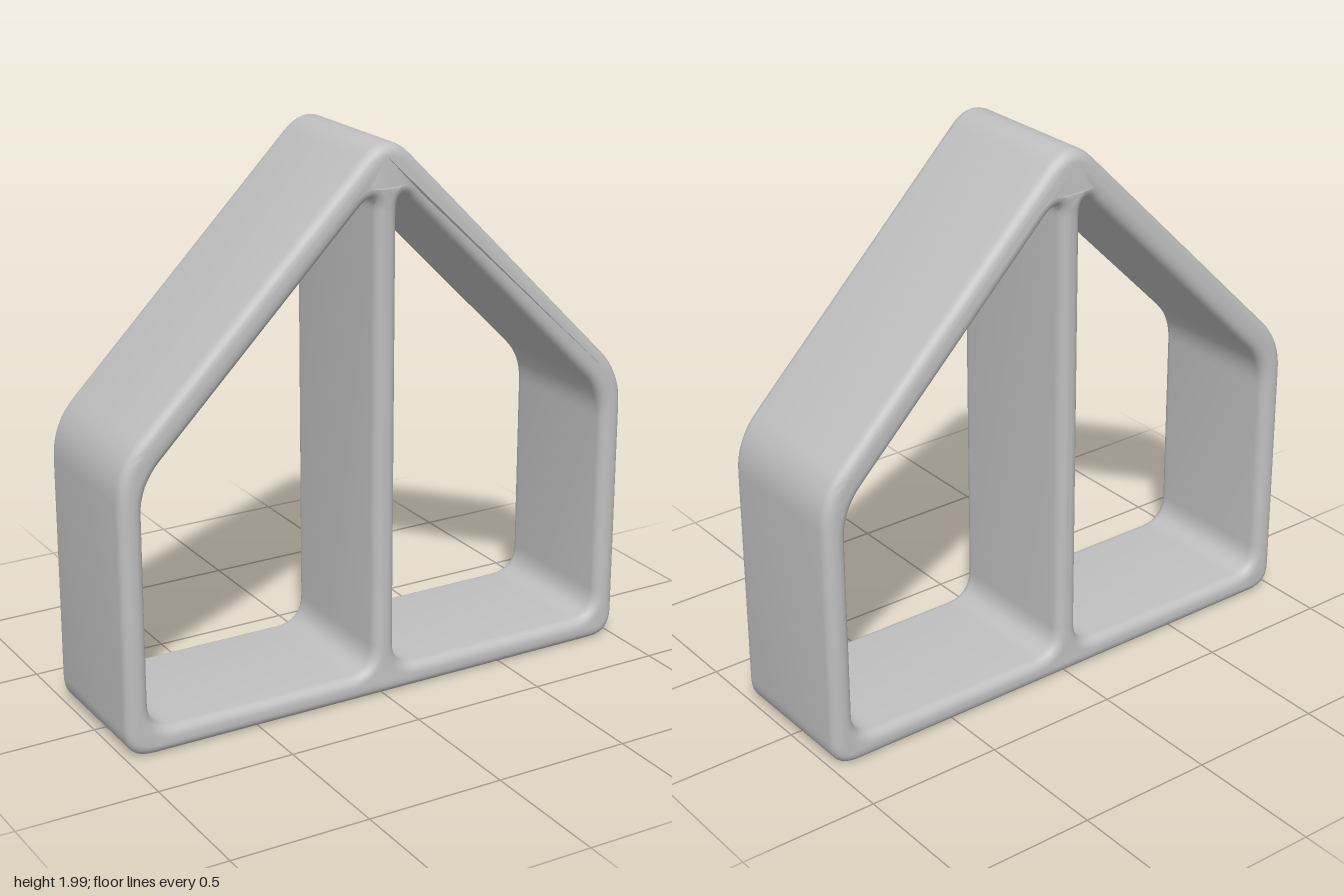
import * as THREE from 'three';
import { toCreasedNormals } from 'three/addons/utils/BufferGeometryUtils.js';

// Traces a closed polygon with rounded corners; each corner is [x, y, cut length]
function rounded(path, corners) {
  const n = corners.length;
  const toward = (a, b) => {
    const p = new THREE.Vector2(a[0], a[1]);
    const dir = new THREE.Vector2(b[0], b[1]).sub(p).normalize();
    return p.addScaledVector(dir, a[2]);
  };
  corners.forEach((c, i) => {
    const start = toward(c, corners[(i + n - 1) % n]);
    const end = toward(c, corners[(i + 1) % n]);
    if (i === 0) path.moveTo(start.x, start.y);
    else path.lineTo(start.x, start.y);
    path.quadraticCurveTo(c[0], c[1], end.x, end.y);
  });
  path.closePath();
  return path;
}

export function createModel() {
  const group = new THREE.Group();
  group.name = 'houseFrame';
  const grey = new THREE.MeshStandardMaterial({ color: 0xc0c0c0 });
  grey.name = 'lightGrey';

  // Outer house outline
  const outline = rounded(new THREE.Shape(), [
    [-1, 0, 0.1], [1, 0, 0.1], [1, 1.035, 0.12], [0, 2.035, 0.13], [-1, 1.035, 0.12],
  ]);

  // Two mirrored openings, leaving a post in the middle
  for (const s of [-1, 1]) {
    outline.holes.push(rounded(new THREE.Path(), [
      [s * 0.042, 0.09, 0.1], [s * 0.915, 0.09, 0.1],
      [s * 0.915, 0.965, 0.1], [s * 0.042, 1.838, 0.08],
    ]));
  }

  // Soft-edged extrusion
  const half = 0.278, bevel = 0.037;
  const geometry = new THREE.ExtrudeGeometry(outline, {
    depth: 2 * (half - bevel), steps: 1, curveSegments: 8,
    bevelEnabled: true, bevelThickness: bevel, bevelSize: bevel,
    bevelOffset: -bevel, bevelSegments: 5,
  });
  geometry.translate(0, 0, -(half - bevel));

  // Slight swelling of the front and back at the ridge
  const pos = geometry.attributes.position;
  for (let i = 0; i < pos.count; i++) {
    const d = Math.hypot(pos.getX(i), pos.getY(i) - 1.89);
    const swell = 1 - THREE.MathUtils.smoothstep(d, 0.03, 0.17);
    pos.setZ(i, pos.getZ(i) * (1 + 0.045 * swell));
  }

  const frame = new THREE.Mesh(toCreasedNormals(geometry, 0.7), grey);
  frame.name = 'frameWithPost';
  group.add(frame);
  return group;
}
